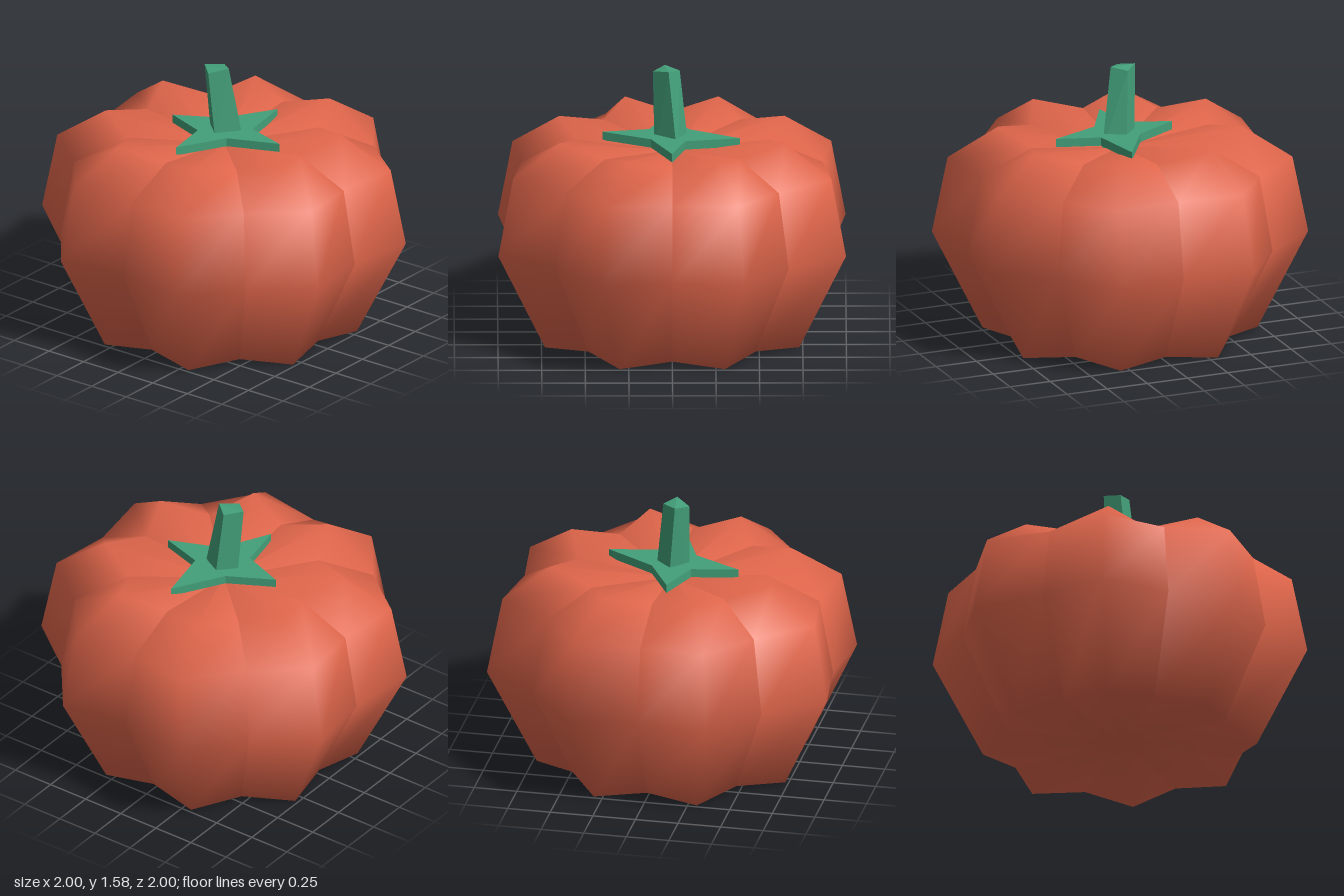
import * as THREE from 'three';
import { ConvexGeometry } from 'three/addons/geometries/ConvexGeometry.js';

// One lobe: a smooth wedge, valley - ridge - valley, from bottom pole to top pole
function lobeGeometry() {
  const ridge = [[0, 0.05], [0.79, 0], [1.08, 0.58], [0.99, 1.03], [0.70, 1.215], [0, 1.09]];
  const valley = [[0, 0.05], [0.68, 0.03], [0.945, 0.58], [0.865, 1.02], [0.55, 1.155], [0, 1.09]];
  const positions = [], index = [];
  for (let i = 0; i < ridge.length; i++) {
    for (let j = 0; j < 3; j++) {
      const [r, y] = (j === 1 ? ridge : valley)[i];
      const a = (j * Math.PI) / 8;
      positions.push(r * Math.sin(a), y, r * Math.cos(a));
    }
  }
  const last = ridge.length - 2;
  for (let i = 0; i <= last; i++) {
    for (let j = 0; j < 2; j++) {
      const a = i * 3 + j, b = a + 1, c = a + 4, d = a + 3;
      if (i > 0) index.push(a, b, c);
      if (i < last) index.push(a, c, d);
      if (i === last) index[index.length - 1] = c;
    }
  }
  const geometry = new THREE.BufferGeometry();
  geometry.setAttribute('position', new THREE.Float32BufferAttribute(positions, 3));
  geometry.setIndex(index);
  geometry.computeVertexNormals();
  return geometry;
}

export function createModel() {
  const orange = new THREE.MeshStandardMaterial({ color: 0xe0664b });
  orange.name = 'orange skin';
  const green = new THREE.MeshStandardMaterial({ color: 0x43a07a });
  green.name = 'green stem';
  const model = new THREE.Group();
  model.name = 'pumpkin';

  // Eight lobes around the axis
  const body = new THREE.Group();
  body.name = 'body';
  const lobe = lobeGeometry();
  for (let k = 0; k < 8; k++) {
    const mesh = new THREE.Mesh(lobe, orange);
    mesh.name = 'lobe';
    mesh.rotation.y = (k * Math.PI) / 4;
    body.add(mesh);
  }
  model.add(body);

  // Four-pointed leaf star, as [x, z]
  const star = [[0, 0.40], [0.075, 0.15], [0.39, 0.09], [0.10, -0.085], [-0.04, -0.34],
    [-0.13, -0.09], [-0.40, -0.04], [-0.12, 0.11]];
  const shape = new THREE.Shape(star.map(([x, z]) => new THREE.Vector2(x, -z)));
  const leafGeometry = new THREE.ExtrudeGeometry(shape, { depth: 0.05, bevelEnabled: false });
  leafGeometry.rotateX(-Math.PI / 2);
  leafGeometry.translate(0, 1.14, 0);
  const leaves = new THREE.Mesh(leafGeometry, green);
  leaves.name = 'leaves';
  model.add(leaves);

  // Leaning four-sided stem
  const stemPoints = [
    [-0.10, 1.09, 0.02], [0.03, 1.09, 0.125], [0.095, 1.09, 0], [0, 1.09, -0.09],
    [-0.11, 1.555, -0.03], [-0.02, 1.575, 0.05], [0.045, 1.56, -0.03], [-0.04, 1.57, -0.11],
  ].map((p) => new THREE.Vector3(...p));
  const stem = new THREE.Mesh(new ConvexGeometry(stemPoints), green);
  stem.name = 'stem';
  model.add(stem);

  return model;
}
